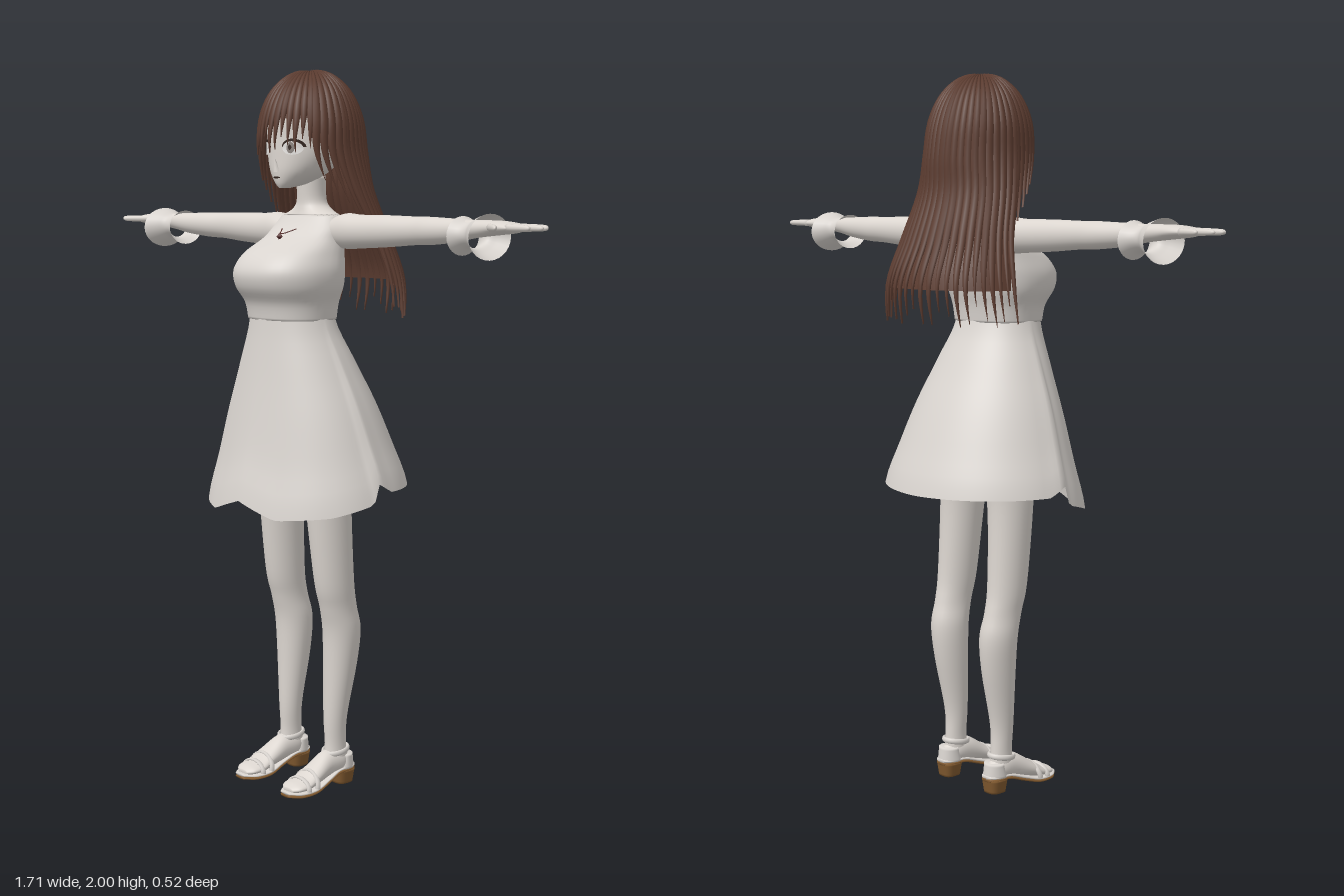
import * as THREE from 'three';

const mat = (name, color, side = THREE.FrontSide) => {
  const m = new THREE.MeshStandardMaterial({ color, side });
  m.name = name;
  return m;
};
const V = (x, y, z) => new THREE.Vector3(x, y, z);

// Smooth sampling of a table of rows at fractional index u
function sample(rows, u) {
  u = Math.min(Math.max(u, 0), rows.length - 1);
  const i = Math.min(Math.floor(u), rows.length - 2), t = u - i;
  const at = (k) => rows[Math.min(Math.max(k, 0), rows.length - 1)];
  const [a, b, c, d] = [at(i - 1), at(i), at(i + 1), at(i + 2)];
  return b.map((p, k) => p + 0.5 * t * (c[k] - a[k] + t * (2 * a[k] - 5 * p + 4 * c[k] - d[k]
    + t * (3 * (p - c[k]) + d[k] - a[k]))));
}

// Skin closed rings of points into one smooth surface, facing outward
function loft(rings, capped = true) {
  const n = rings[0].length, pts = rings.flat(), idx = [];
  for (let r = 0; r < rings.length - 1; r++)
    for (let j = 0; j < n; j++) {
      const a = r * n + j, b = r * n + (j + 1) % n;
      idx.push(a, b, a + n, b, b + n, a + n);
    }
  if (capped) for (const [r, flip] of [[0, 1], [rings.length - 1, 0]]) {
    const c = pts.length;
    pts.push(rings[r].reduce((s, p) => s.add(p), V(0, 0, 0)).divideScalar(n));
    for (let j = 0; j < n; j++) {
      const a = r * n + j, b = r * n + (j + 1) % n;
      idx.push(...(flip ? [c, b, a] : [c, a, b]));
    }
  }
  let vol = 0;
  for (let i = 0; i < idx.length; i += 3)
    vol += pts[idx[i]].dot(V(0, 0, 0).crossVectors(pts[idx[i + 1]], pts[idx[i + 2]]));
  if (vol < 0) idx.reverse();
  const g = new THREE.BufferGeometry().setFromPoints(pts);
  g.setIndex(idx);
  g.computeVertexNormals();
  return g;
}

// Body tube: keys are [along, centre1, centre2, radius1, radius2 plus, radius2 minus]
function tube(keys, axis = 'y', { side = 1, n = 28, e = 2, sub = 5, capped = true } = {}) {
  const rings = [], steps = (keys.length - 1) * sub;
  const pw = (v) => Math.sign(v) * Math.abs(v) ** (2 / e);
  for (let i = 0; i <= steps; i++) {
    const [s, c1, c2, r1, rf, rb = rf] = sample(keys.map((k) => k.length < 6 ? [...k, k[4]] : k), i / sub);
    rings.push(Array.from({ length: n }, (_, j) => {
      const a = j / n * 2 * Math.PI, c = Math.cos(a);
      const p = c1 + r1 * pw(Math.sin(a)), q = c2 + (c > 0 ? rf : rb) * pw(c);
      const v = axis === 'y' ? V(p, s, q) : axis === 'x' ? V(s, p, q) : V(p, q, s);
      v.x *= side;
      return v;
    }));
  }
  return loft(rings, capped);
}

// Hair envelope: [y, half width, front depth, back depth, centre z]
const HAIR = [
  [2.0, .004, .004, .004, 0], [1.985, .06, .06, .06, 0], [1.94, .108, .11, .11, 0],
  [1.87, .137, .14, .143, 0], [1.78, .145, .15, .157, -.002], [1.68, .165, .14, .14, -.025],
  [1.56, .197, .13, .14, -.065], [1.44, .232, .12, .165, -.085], [1.33, .25, .1, .155, -.085]];
function hairPoint(a, u, k = 1) {
  const [y, w, f, b, c] = sample(HAIR, u), cs = Math.cos(a);
  return V(k * w * Math.sin(a), y, c + k * cs * (cs > 0 ? f : b));
}

// One flattened, pointed lock lying on the envelope
function lock(a, u0, u1, spread, thick) {
  const rings = [], steps = Math.ceil((u1 - u0) * 4) + 3, e = .02;
  for (let i = 0; i <= steps; i++) {
    const s = i / steps, u = u0 + (u1 - u0) * s;
    const p = hairPoint(a, u, .985);
    const T = hairPoint(a + e, u).sub(hairPoint(a - e, u)).divideScalar(2 * e);
    const D = hairPoint(a, u + e).sub(hairPoint(a, u - e));
    const N = V(0, 0, 0).crossVectors(T, D).normalize();
    const k = s < .6 ? 1 : Math.max(.03, 1 - ((s - .6) / .4) ** 1.5);
    rings.push(Array.from({ length: 8 }, (_, j) => {
      const q = j / 8 * 2 * Math.PI;
      return p.clone().addScaledVector(T, spread * k * Math.cos(q)).addScaledVector(N, thick * (.3 + .7 * k) * Math.sin(q));
    }));
  }
  return loft(rings);
}

export function createModel() {
  const root = new THREE.Group();
  const skin = mat('skin', 0xdbd5cf), cloth = mat('dress cloth', 0xd9d4cf, THREE.DoubleSide);
  const hair = mat('brown hair', 0x5c3c30, THREE.DoubleSide), dark = mat('dark lash', 0x33251f);
  const white = mat('eye white', 0xeeebe8), iris = mat('iris', 0x8d8580);
  const sole = mat('sole leather', 0x80592f), gem = mat('pendant', 0x5a2c28);
  const add = (name, geo, m, parent = root) => {
    const o = new THREE.Mesh(geo, m);
    o.name = name;
    parent.add(o);
    return o;
  };

  // Neck and bodice
  const torso = [
    [1.72, 0, 0, .038, .04, .045], [1.655, 0, -.003, .04, .04, .045], [1.63, 0, -.005, .06, .045, .05],
    [1.612, 0, -.005, .105, .05, .05], [1.58, 0, 0, .125, .072, .06], [1.55, 0, .02, .13, .09, .08],
    [1.51, 0, .05, .143, .135, .11], [1.465, 0, .07, .155, .15, .13], [1.42, 0, .07, .152, .145, .125],
    [1.375, 0, .065, .135, .12, .11], [1.33, 0, .065, .128, .11, .105]];
  add('neck', tube(torso.slice(0, 4)), skin);
  add('bodice', tube(torso.slice(3), 'y', { n: 40, e: 2.3 }), cloth);

  // Skirt: uneven hem, longer in front with a step at each side
  const hem = [[0, .84], [.42, .80], [1.0, .815], [1.5, .845], [1.56, .9], [1.75, .872], [3.15, .866]];
  const hemY = (a) => {
    const i = Math.max(1, hem.findIndex((h) => h[0] >= a));
    const [p, q] = [hem[i - 1], hem[i]];
    return p[1] + (q[1] - p[1]) * (a - p[0]) / (q[0] - p[0]);
  };
  const skirtRows = [[.128, .065, .11, .105], [.178, .055, .135, .15], [.23, .045, .165, .2],
    [.272, .035, .198, .24], [.31, .025, .238, .272]];
  const skirt = [];
  for (let i = 0; i <= 16; i++)
    skirt.push(Array.from({ length: 100 }, (_, j) => {
      const a = (j / 100) * 2 * Math.PI, c = Math.cos(a), h = hemY(Math.min(a, 2 * Math.PI - a));
      const [rx, cz, f, b] = sample(skirtRows, i / 4);
      return V(rx * Math.sin(a), 1.335 + (h - 1.335) * i / 16, cz + c * (c > 0 ? f : b));
    }));
  add('skirt', loft(skirt, false), cloth);

  // Pendant on a short chain
  add('pendant', new THREE.OctahedronGeometry(.011), gem).position.set(0, 1.555, .112);
  const chain = new THREE.CatmullRomCurve3([V(-.03, 1.575, .077), V(0, 1.562, .105), V(.03, 1.575, .077)]);
  add('pendantChain', new THREE.TubeGeometry(chain, 12, .0015, 5), gem);

  // Head, nose and mouth
  const head = [[1.685, 0, .1, .01, .01, .02], [1.7, 0, .07, .038, .048, .06], [1.73, 0, .035, .076, .088, .08],
    [1.77, 0, .015, .1, .108, .1], [1.82, 0, 0, .112, .122, .115], [1.88, 0, 0, .115, .12, .12],
    [1.95, 0, 0, .085, .088, .09], [1.98, 0, 0, .02, .02, .02]];
  add('head', tube(head, 'y', { n: 36 }), skin);
  const nose = add('nose', new THREE.ConeGeometry(.011, .035, 10), skin);
  nose.position.set(0, 1.748, .124);
  nose.rotation.x = .25;

  // Painted face plates that follow the face surface
  const faceZ = (x, y) => {
    const i = head.findIndex((h) => h[0] > y), [p, q] = [head[i - 1], head[i]];
    const [, , cz, rx, f] = sample(head, i - 1 + (y - p[0]) / (q[0] - p[0]));
    return cz + f * Math.sqrt(Math.max(0, 1 - (x / rx) ** 2));
  };
  const plate = (name, cx, cy, w, h, m, lift, half = 2) => {
    const g = new THREE.CircleGeometry(1, 24, 0, half * Math.PI).scale(w, h, 1).translate(cx, cy, 0);
    const p = g.attributes.position;
    for (let i = 0; i < p.count; i++) p.setZ(i, faceZ(p.getX(i), p.getY(i)) + lift);
    g.computeVertexNormals();
    add(name, g, m);
  };
  plate('mouth', 0, 1.714, .014, .0025, dark, .003);
  for (const s of [-1, 1]) {
    plate('eyelash', s * .052, 1.795, .029, .022, dark, .003, 1);
    plate('eyeWhite', s * .052, 1.792, .025, .018, white, .005);
    plate('iris', s * .05, 1.793, .01, .015, iris, .007);
    plate('pupil', s * .05, 1.794, .004, .007, dark, .009);
  }

  // Hair shell, short over the face and long behind
  const hairGroup = new THREE.Group();
  hairGroup.name = 'hair';
  root.add(hairGroup);
  const shell = [];
  for (let i = 0; i <= 30; i++)
    shell.push(Array.from({ length: 72 }, (_, j) => {
      const a = (j / 72) * 2 * Math.PI, d = Math.min(a, 2 * Math.PI - a);
      const end = 3 + 1.7 * THREE.MathUtils.smoothstep(d, 1.1, 1.45) + 2.4 * THREE.MathUtils.smoothstep(d, 1.5, 1.65);
      return hairPoint(a, end * i / 30, .97);
    }));
  add('hairShell', loft(shell, false), hair, hairGroup);

  // Long back locks, side locks and fringe
  for (let i = 0; i < 25; i++) {
    const a = Math.PI / 2 + .03 + (Math.PI - .06) * i / 24;
    add('backLock', lock(a, .5, 7.35 + .62 * Math.abs(Math.sin(i * 2.3 + .4)), .085, .009), hair, hairGroup);
  }
  for (const s of [-1, 1])
    for (const [a, u] of [[.98, 4.75], [1.13, 5.0], [1.28, 5.3], [1.43, 5.7], [1.56, 6.6]])
      add('sideLock', lock(s * a, .5, u, .09, .009), hair, hairGroup);
  for (let i = -6; i <= 6; i++)
    add('fringeLock', lock(i * .145, .5, i === 0 ? 4.0 : 3.7 + .22 * Math.sin(i * 2.1) + .03 * Math.abs(i), .085, .007), hair, hairGroup);

  for (const side of [-1, 1]) {
    const o = { side };
    // Arm with palm
    add('arm', tube([[.08, 1.565, -.01, .036, .042], [.14, 1.57, -.01, .048, .045], [.2, 1.57, -.01, .045, .041],
      [.3, 1.573, -.012, .042, .038], [.4, 1.576, -.015, .037, .034], [.46, 1.577, -.012, .036, .036],
      [.55, 1.58, -.006, .03, .03], [.62, 1.585, -.002, .023, .026], [.67, 1.588, 0, .02, .028],
      [.72, 1.59, .002, .017, .04], [.755, 1.59, .002, .013, .041], [.768, 1.59, .002, .008, .036]], 'x', o), skin);
    // Fingers and thumb
    for (const [x0, z0, x1, z1] of [[.75, -.03, .818, -.048], [.755, -.01, .846, -.016], [.755, .01, .853, .01],
      [.755, .03, .835, .038], [.69, .022, .768, .085]]) {
      const mid = (t, r) => [x0 + (x1 - x0) * t, 1.591, z0 + (z1 - z0) * t, r, r * 1.1];
      add('finger', tube([mid(0, .01), mid(.5, .009), mid(.9, .007), mid(1, .002)], 'x', { side, n: 10, sub: 3 }), skin);
    }
    // Flared double cuff
    add('cuff', tube([[.575, 1.567, -.005, .05, .06], [.6, 1.57, -.005, .036, .046], [.622, 1.572, -.003, .035, .042],
      [.645, 1.57, -.002, .046, .058], [.672, 1.566, 0, .058, .078]], 'x', { side, capped: false }), cloth);
    // Leg
    add('leg', tube([[1.1, .075, .03, .07, .08, .09], [.95, .09, .03, .066, .07, .085], [.8, .1, .02, .058, .068, .068],
      [.6, .105, .005, .05, .06, .062], [.52, .105, -.01, .046, .055, .06], [.45, .103, -.025, .05, .055, .06],
      [.35, .1, -.02, .045, .046, .056], [.2, .097, -.008, .032, .034, .037], [.12, .097, -.01, .027, .033, .033],
      [.07, .097, -.01, .029, .038, .038], [.045, .097, -.012, .025, .036, .034]], 'y', o), skin);
    // Foot
    add('foot', tube([[-.058, .097, .06, .018, .022], [-.02, .097, .067, .031, .036], [.03, .097, .064, .033, .038],
      [.08, .1, .046, .038, .027], [.12, .1, .031, .043, .017], [.155, .1, .026, .038, .012],
      [.172, .1, .022, .018, .006]], 'z', o), skin);
    // Sandal: footbed, outsole, heel and straps
    const bed = (y, k) => tube([[-.07, .097, y + .034, .016 * k, .005], [-.05, .097, y + .034, .032 * k, .006],
      [0, .097, y + .032, .035 * k, .006], [.05, .1, y + .016, .04 * k, .006], [.1, .1, y + .002, .048 * k, .006],
      [.15, .1, y, .044 * k, .006], [.182, .1, y + .002, .02 * k, .004]], 'z', { side, n: 16 });
    add('footbed', bed(.014, 1), cloth);
    add('outsole', bed(.006, .97), sole);
    add('heel', tube([[0, .097, -.035, .026, .028], [.04, .097, -.035, .032, .034]], 'y', { side, e: 3 }), sole);
    for (const [y, z, w, h, tilt] of [[.018, .13, .044, .03, .1], [.02, .1, .046, .042, .2]]) {
      const strap = add('toeStrap', new THREE.TorusGeometry(1, .12, 8, 20, Math.PI), cloth);
      strap.scale.set(w, h, .07);
      strap.position.set(side * .1, y, z);
      strap.rotation.x = -tilt;
    }
    const ankle = add('ankleStrap', new THREE.TorusGeometry(.035, .005, 8, 28), cloth);
    ankle.rotation.x = Math.PI / 2 + .15;
    ankle.scale.set(.92, 1.1, 1.6);
    ankle.position.set(side * .097, .1, -.01);
    add('heelCup', tube([[.045, .097, -.03, .035, .03, .04], [.085, .097, -.035, .031, .02, .03]], 'y', o), cloth);
  }
  return root;
}
